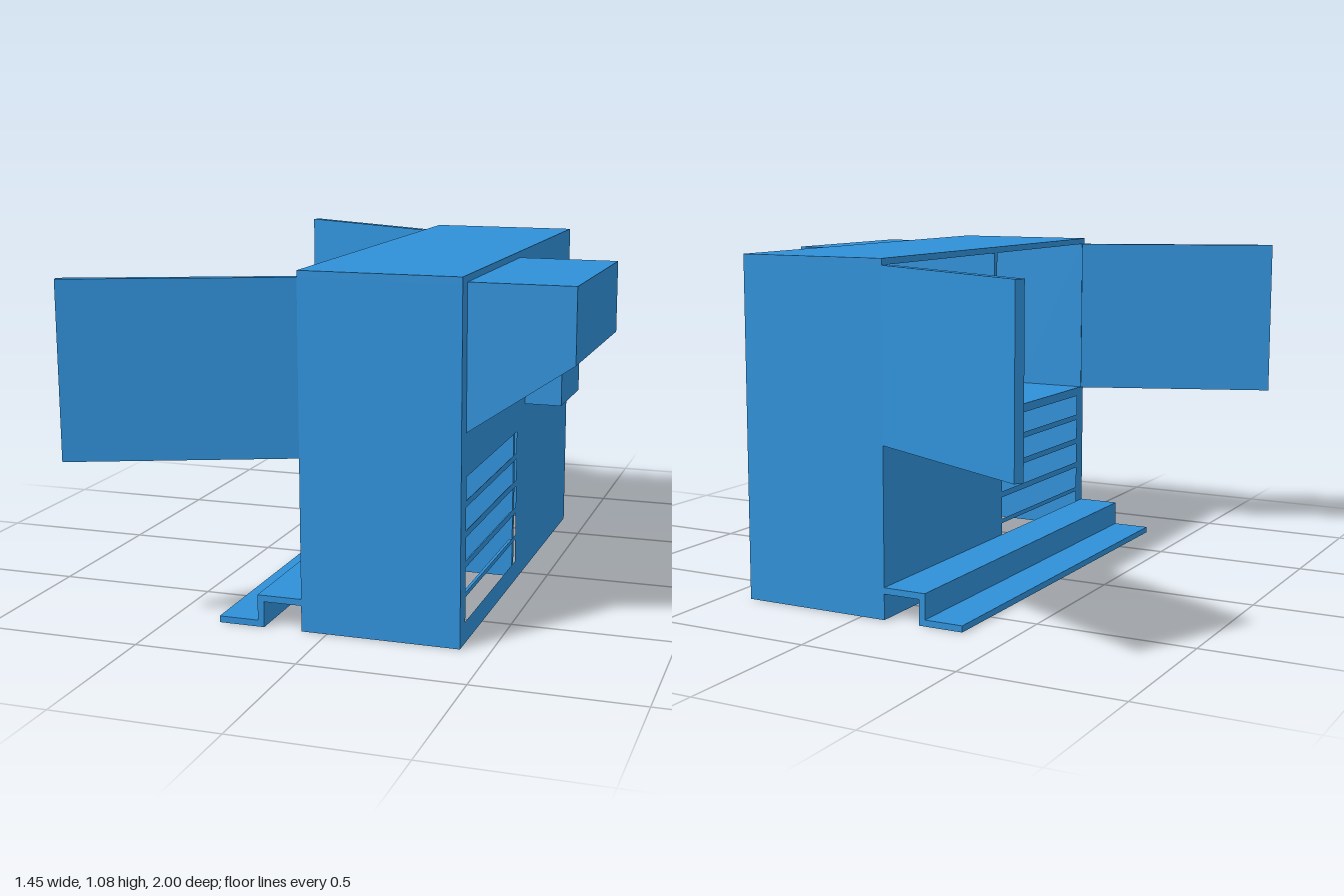
import * as THREE from 'three';

const blue = new THREE.MeshStandardMaterial({ color: 0x3090d8 });

// Extents of the cabinet and its sheet thickness
const X0 = -0.08, X1 = 0.41, Z0 = -0.68, Z1 = 0.75, H = 1.08, T = 0.02;
const SHELF = 0.53, MID = 0.04;

export function createModel() {
  const model = new THREE.Group();
  model.name = 'cabinet';

  const add = (name, geometry) => {
    const mesh = new THREE.Mesh(geometry, blue);
    mesh.name = name;
    model.add(mesh);
    return mesh;
  };

  // Box given by its minimum and maximum along each axis
  const box = (name, x0, x1, y0, y1, z0, z1) => {
    const mesh = add(name, new THREE.BoxGeometry(x1 - x0, y1 - y0, z1 - z0));
    mesh.position.set((x0 + x1) / 2, (y0 + y1) / 2, (z0 + z1) / 2);
    return mesh;
  };

  // Profile of x, y points extruded along z
  const extrudeZ = (name, points, z0, z1) => {
    const shape = new THREE.Shape(points.map(([x, y]) => new THREE.Vector2(x, y)));
    const geometry = new THREE.ExtrudeGeometry(shape, { depth: z1 - z0, bevelEnabled: false });
    return add(name, geometry.translate(0, 0, z0));
  };

  // Side sheet with a louvred window, extruded along x
  const louvrePanel = (name, x, top) => {
    const rect = (target, z0, z1, y0, y1) => {
      target.moveTo(-z0, y0);
      target.lineTo(-z1, y0);
      target.lineTo(-z1, y1);
      target.lineTo(-z0, y1);
      target.closePath();
      return target;
    };
    const shape = rect(new THREE.Shape(), Z0, Z1, 0, top);
    const bars = [[0.14, 0.155], [0.23, 0.25], [0.32, 0.34], [0.41, 0.43]];
    let low = 0.065;
    for (const [bottom, barTop] of [...bars, [0.5, 0.5]]) {
      shape.holes.push(rect(new THREE.Path(), 0.09, 0.695, low, bottom));
      low = barTop;
    }
    const geometry = new THREE.ExtrudeGeometry(shape, { depth: T, bevelEnabled: false });
    geometry.rotateY(Math.PI / 2);
    return add(name, geometry.translate(x, 0, 0));
  };

  // Cabinet shell, open underneath and along the upper half of one side
  box('top', X0, X1, H - T, H, Z0, Z1);
  box('frontWall', X0, X1, 0, H - T, Z1 - T, Z1);
  box('backWall', X0, X1, 0, H - T, Z0, Z0 + T);
  louvrePanel('tallLouvrePanel', X1 - T, H - T);
  louvrePanel('lowLouvrePanel', X0, SHELF - T);
  box('shelf', X0, X1 - T, SHELF - T, SHELF, Z0 + T, Z1 - T);
  box('divider', X0 + T, X1 - T, 0, SHELF - T, MID - T / 2, MID + T / 2);
  box('upperDivider', X0, X1 - T, SHELF, H - T, MID - T / 2, MID + T / 2);

  // Sloped hood and control box on the tall side
  extrudeZ('hood', [[X1, 0.63], [0.72, 0.84], [0.72, 1.06], [X1, 1.06]], 0.08, 0.7);
  box('controlBox', X1, 0.53, 0.57, 1.01, -0.3, -0.02);

  // Stepped rail along the open side
  extrudeZ('steppedRail', [
    [X0, 0.1], [-0.22, 0.1], [-0.22, 0.02], [-0.345, 0.02],
    [-0.345, 0], [-0.2, 0], [-0.2, 0.08], [X0, 0.08],
  ], Z0, Z1);

  // Two doors swung open from their hinges
  const door = (name, hingeZ, endX, endZ) => {
    const dx = endX - X0, dz = endZ - hingeZ;
    const mesh = add(name, new THREE.BoxGeometry(Math.hypot(dx, dz), 0.53, 0.03));
    mesh.position.set((X0 + endX) / 2, 0.795, (hingeZ + endZ) / 2);
    mesh.rotation.y = Math.atan2(-dz, dx);
  };
  door('frontDoor', 0.733, -0.72, 0.983);
  door('backDoor', -0.663, -0.68, -0.987);

  return model;
}
